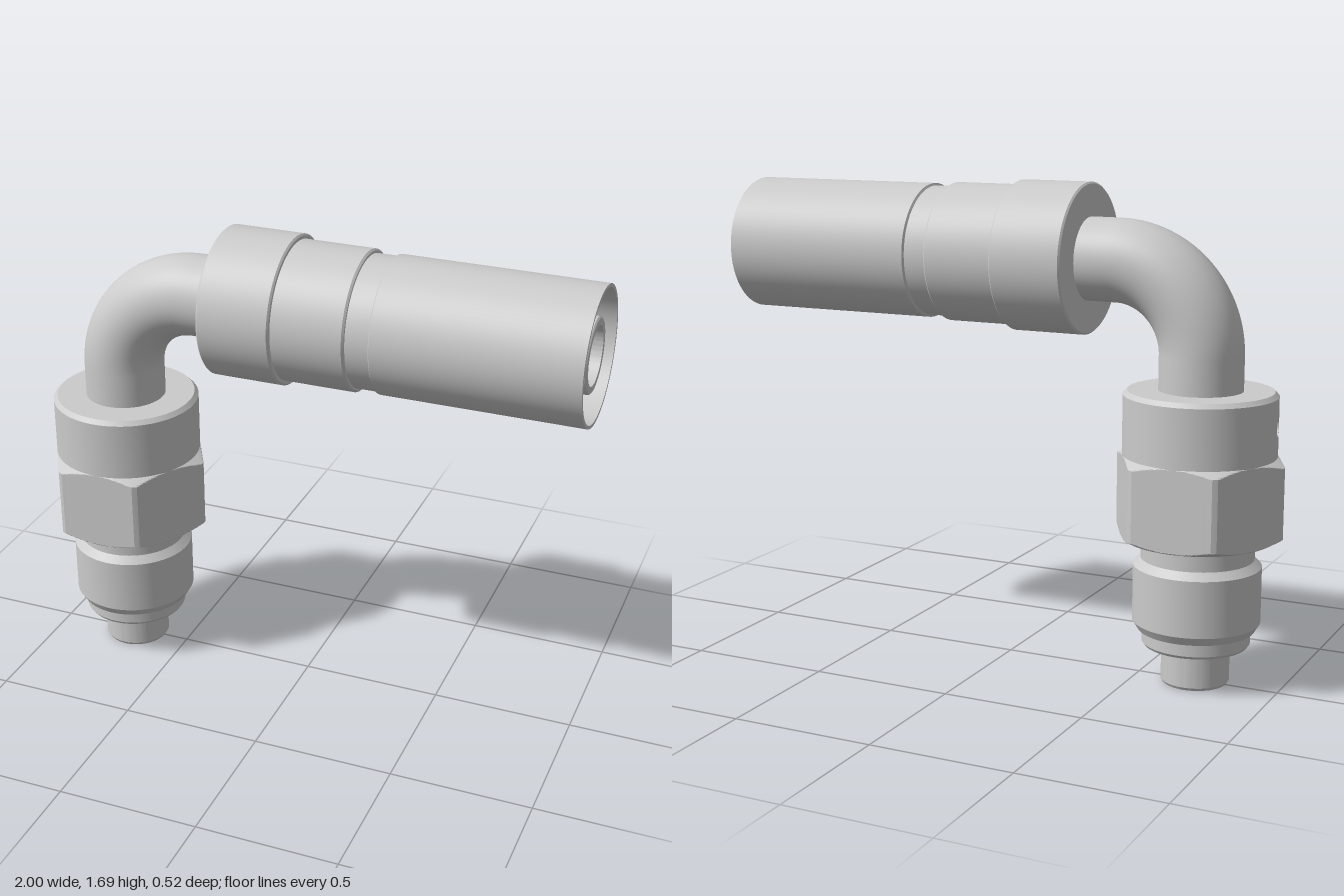
import * as THREE from 'three';
import { toCreasedNormals } from 'three/addons/utils/BufferGeometryUtils.js';

const AXIS_X = -0.705;  // vertical axis of the threaded end
const AXIS_Y = 1.432;   // horizontal axis of the hose end
const TUBE_R = 0.142, BEND_R = 0.3;
const COLLAR_R = 0.26, HOLE_ANGLE = THREE.MathUtils.degToRad(12);

const material = new THREE.MeshStandardMaterial({ color: 0xcccccc });

function add(parent, name, geometry, x = 0, y = 0) {
  const mesh = new THREE.Mesh(geometry, material);
  mesh.name = name;
  mesh.position.set(x, y, 0);
  parent.add(mesh);
  return mesh;
}

// Revolved profile of [radius, height] pairs with sharp edges kept
function lathe(profile, segments = 96, start = 0, length = Math.PI * 2) {
  const points = profile.map(([r, y]) => new THREE.Vector2(r, y));
  return toCreasedNormals(new THREE.LatheGeometry(points, segments, start, length), 0.4);
}

// Hexagon with turned chamfers: a revolved profile clamped to six flats
function hexNut(flat, y0, y1) {
  const profile = [[0.19, y0]];
  const steps = 6, inner = 0.258, outer = 0.295, rise = 0.02;
  const ramp = (i) => inner + ((outer - inner) * i) / steps;
  for (let i = 0; i <= steps; i++) profile.push([ramp(i), y0 + (rise * i) / steps]);
  for (let i = steps; i >= 0; i--) profile.push([ramp(i), y1 - (rise * i) / steps]);
  profile.push([0.19, y1]);
  const g = new THREE.LatheGeometry(profile.map(([r, y]) => new THREE.Vector2(r, y)), 192);
  const p = g.attributes.position;
  for (let i = 0; i < p.count; i++) {
    const x = p.getX(i), z = p.getZ(i), r = Math.hypot(x, z);
    const sector = Math.PI / 3;
    const phi = Math.atan2(x, z);
    const off = phi - Math.round(phi / sector) * sector;
    const k = Math.min(1, flat / Math.cos(off) / r);
    p.setXYZ(i, x * k, p.getY(i), z * k);
  }
  return toCreasedNormals(g, 0.2);
}

// Piece of collar wall with a round hole, bent around the axis
function holePatch(phi, halfAngle, y0, y1, holeY, holeR) {
  const n = 6, w = halfAngle * COLLAR_R, outline = [];
  for (let i = 0; i <= n; i++) outline.push(new THREE.Vector2(-w + (2 * w * i) / n, y0));
  for (let i = n; i >= 0; i--) outline.push(new THREE.Vector2(-w + (2 * w * i) / n, y1));
  const shape = new THREE.Shape(outline);
  shape.holes.push(new THREE.Path().absarc(0, holeY, holeR, 0, Math.PI * 2, true));
  const g = new THREE.ShapeGeometry(shape, 16);
  const p = g.attributes.position, normal = g.attributes.normal;
  for (let i = 0; i < p.count; i++) {
    const a = phi + p.getX(i) / COLLAR_R;
    p.setXYZ(i, COLLAR_R * Math.sin(a), p.getY(i), COLLAR_R * Math.cos(a));
    normal.setXYZ(i, Math.sin(a), 0, Math.cos(a));
  }
  return g;
}

export function createModel() {
  const model = new THREE.Group();
  model.name = 'elbowHoseFitting';

  // Threaded end, standing on the vertical axis
  const connector = new THREE.Group();
  connector.name = 'connector';
  connector.position.x = AXIS_X;
  model.add(connector);

  add(connector, 'threadedStub', lathe([
    [0, 0.5], [0.102, 0.5], [0.102, 0], [0.111, 0], [0.117, 0.01], [0.117, 0.135],
    [0.178, 0.135], [0.185, 0.145], [0.185, 0.19], [0.2, 0.19], [0.218, 0.22],
    [0.218, 0.415], [0.193, 0.44], [0.193, 0.53],
  ]));
  add(connector, 'hexNut', hexNut(COLLAR_R, 0.512, 0.797));

  // Collar: wall with a gap for the drilled piece, then the chamfered top
  const holePhi = -Math.PI / 2 + HOLE_ANGLE, half = Math.PI / 18;
  add(connector, 'collarWall', lathe([[COLLAR_R, 0.785], [COLLAR_R, 1.0]],
    96, holePhi + half, Math.PI * 2 - 2 * half));
  add(connector, 'collarDrilledWall', holePatch(holePhi, half, 0.785, 1.0, 0.9, 0.033));
  add(connector, 'collarTop', lathe([[COLLAR_R, 1.0], [0.246, 1.015], [0.13, 1.015]]));
  const hole = add(connector, 'collarHole',
    lathe([[0.033, 0.2585], [0.033, 0.17], [0, 0.17]], 32), 0, 0.9);
  hole.rotation.set(0, HOLE_ANGLE, Math.PI / 2);

  // Bent tube: straight, quarter bend, straight
  const elbow = new THREE.Group();
  elbow.name = 'elbowTube';
  model.add(elbow);
  const bendX = AXIS_X + BEND_R, bendY = AXIS_Y - BEND_R;
  const straight = (length) => new THREE.CylinderGeometry(TUBE_R, TUBE_R, length, 64, 1, true);
  add(elbow, 'lowerTube', straight(bendY - 1.0), AXIS_X, (bendY + 1.0) / 2);
  add(elbow, 'tubeBend', new THREE.TorusGeometry(BEND_R, TUBE_R, 64, 40, Math.PI / 2), bendX, bendY)
    .rotation.z = Math.PI / 2;
  add(elbow, 'upperTube', straight(-0.28 - bendX), (bendX - 0.28) / 2, AXIS_Y)
    .rotation.z = Math.PI / 2;

  // Hose end, revolved and laid along +x
  const hoseEnd = new THREE.Group();
  hoseEnd.name = 'hoseEnd';
  hoseEnd.position.y = AXIS_Y;
  hoseEnd.rotation.z = -Math.PI / 2;
  model.add(hoseEnd);

  add(hoseEnd, 'ferrule', lathe([
    [0, -0.3], [0.252, -0.3], [0.258, -0.294], [0.258, -0.046], [0.252, -0.04],
    [0.241, -0.04], [0.241, 0.208], [0.235, 0.215], [0.227, 0.215], [0.227, 0.295],
    [0.235, 0.3], [0.235, 1], [0.223, 1], [0.223, 0.33], [0.19, 0.27],
    [0.155, 0.27], [0.155, 0], [0.12, 0],
  ]));
  add(hoseEnd, 'hoseInsert', lathe([
    [0.127, 0], [0.127, 0.98], [0.122, 0.985], [0.1, 0.985], [0.1, -0.2], [0, -0.2],
  ]));

  return model;
}
